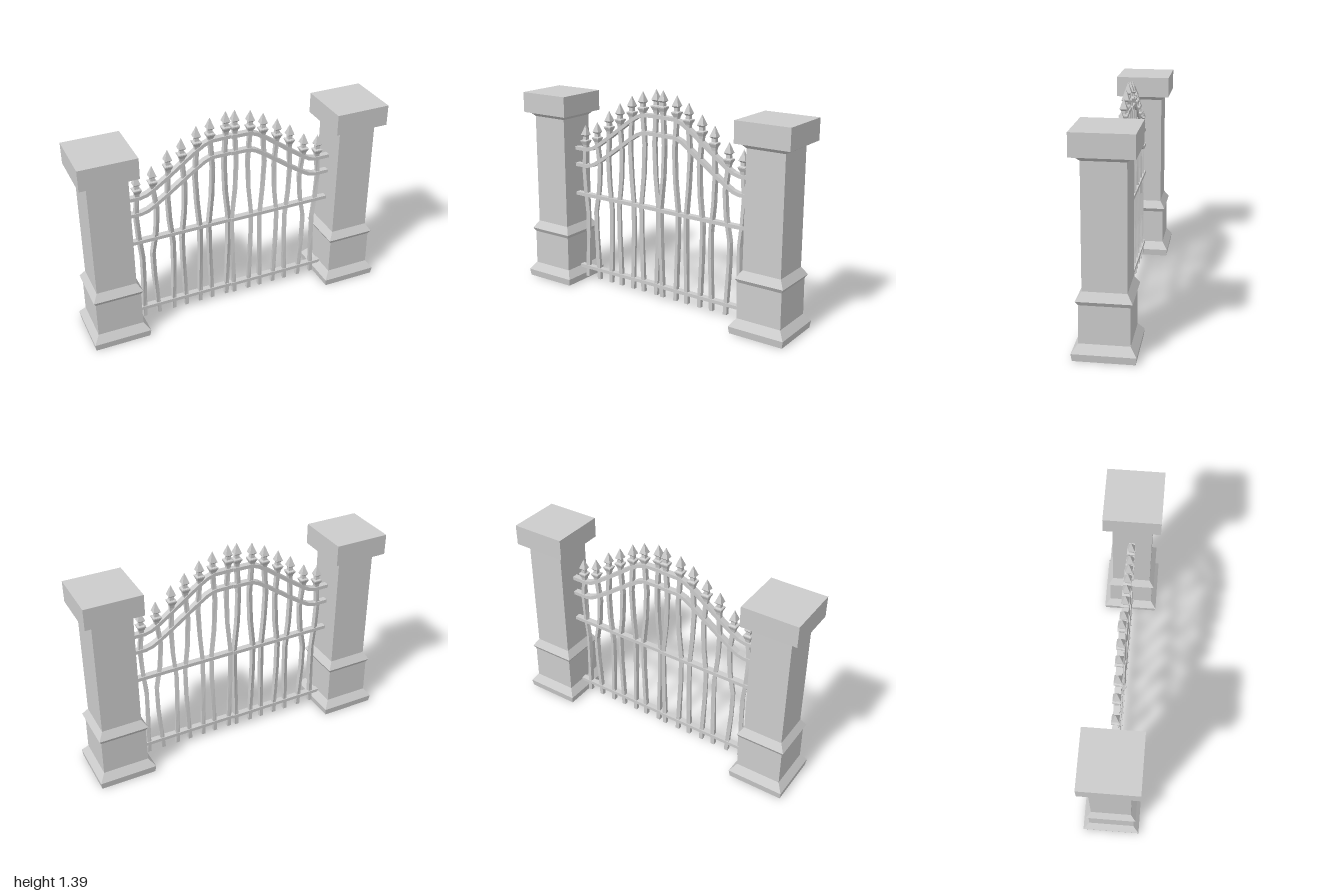
import * as THREE from 'three';

const stone = new THREE.MeshStandardMaterial({ color: 0xcccccc, flatShading: true });

// Square turned form from [halfWidth, y] pairs
function squareLathe(profile) {
  const points = profile.map(([h, y]) => new THREE.Vector2(h * Math.SQRT2, y));
  return new THREE.LatheGeometry(points, 4).rotateY(Math.PI / 4);
}

function add(parent, name, geometry, x = 0, y = 0, z = 0) {
  const mesh = new THREE.Mesh(geometry, stone);
  mesh.name = name;
  mesh.position.set(x, y, z);
  parent.add(mesh);
  return mesh;
}

const pillarProfile = [
  [0, 0], [0.178, 0], [0.184, 0.045], [0.147, 0.095], [0.145, 0.325],
  [0.159, 0.35], [0.127, 0.4], [0.125, 1.137], [0.153, 1.166],
  [0.178, 1.166], [0.178, 1.3], [0, 1.3],
];

const spearProfile = [
  [0, -0.15], [0.013, -0.15], [0.016, -0.132], [0.026, -0.11], [0.026, -0.103],
  [0.014, -0.098], [0.013, -0.077], [0.023, -0.066], [0, 0],
];

// Bars of one leaf, from the centre outwards: x, tip height, lower and upper bend
const bars = [
  [0.028, 1.388, -0.016, 0.012],
  [0.131, 1.366, 0.016, -0.014],
  [0.218, 1.329, -0.01, 0.015],
  [0.315, 1.27, 0.016, -0.014],
  [0.405, 1.211, -0.013, 0.01],
  [0.507, 1.126, 0.022, -0.02],
  [0.608, 1.094, -0.01, 0.014],
];

// Hand-forged square bar: a box whose rings are shifted and twisted
function bentBar(bottom, top, a, b, side) {
  const shift = [0, 0.45 * a, 0.9 * a, a, 0.4 * b, b, 0];
  const geometry = new THREE.BoxGeometry(0.026, top - bottom, 0.026, 1, 6, 1);
  const pos = geometry.attributes.position;
  for (let i = 0; i < pos.count; i++) {
    const u = pos.getY(i) / (top - bottom) + 0.5;
    const angle = 0.35 * side * Math.sin(Math.PI * u);
    const x = pos.getX(i), z = pos.getZ(i);
    pos.setX(i, x * Math.cos(angle) - z * Math.sin(angle) + side * shift[Math.round(u * 6)]);
    pos.setZ(i, x * Math.sin(angle) + z * Math.cos(angle));
  }
  return geometry.translate(0, (top + bottom) / 2, 0);
}

// Arched rail over one leaf, as a constant-thickness band along a polyline
function archedRail(points, side) {
  const t = 0.0115;
  const path = points.map(([x, y]) => new THREE.Vector2(side * x, y));
  const offset = path.map((p, i) => {
    const before = path[Math.max(i - 1, 0)];
    const after = path[Math.min(i + 1, path.length - 1)];
    const d = after.clone().sub(before).normalize();
    if (i === 0 || i === path.length - 1) d.set(side, 0);
    return new THREE.Vector2(-d.y, d.x).multiplyScalar(t);
  });
  const upper = path.map((p, i) => p.clone().add(offset[i]));
  const lower = path.map((p, i) => p.clone().sub(offset[i])).reverse();
  const shape = new THREE.Shape([...upper, ...lower]);
  return new THREE.ExtrudeGeometry(shape, { depth: 0.038, bevelEnabled: false }).translate(0, 0, -0.019);
}

const upperArch = [
  [0, 1.218], [0.125, 1.216], [0.17, 1.2], [0.23, 1.163], [0.41, 1.03],
  [0.5, 0.968], [0.545, 0.942], [0.59, 0.93], [0.69, 0.93],
];
const lowerArch = [
  [0, 1.104], [0.125, 1.102], [0.17, 1.084], [0.23, 1.045], [0.41, 0.915],
  [0.5, 0.855], [0.545, 0.829], [0.59, 0.817], [0.69, 0.817],
];

function createLeaf(side) {
  const leaf = new THREE.Group();
  leaf.name = side > 0 ? 'leftLeaf' : 'rightLeaf';

  for (const [x, tip, a, b] of bars) {
    add(leaf, 'bar', bentBar(0.025, tip - 0.14, a, b, side), side * x);
    add(leaf, 'spearhead', squareLathe(spearProfile), side * x, tip);
  }

  // Straight rails
  add(leaf, 'bottomRail', new THREE.BoxGeometry(0.678, 0.022, 0.038), side * 0.339, 0.095);
  add(leaf, 'middleRail', new THREE.BoxGeometry(0.69, 0.023, 0.038), side * 0.345, 0.615);

  // Arched rails
  add(leaf, 'upperArchedRail', archedRail(upperArch, side));
  add(leaf, 'lowerArchedRail', archedRail(lowerArch, side));
  return leaf;
}

export function createModel() {
  const gate = new THREE.Group();
  gate.name = 'gate';
  for (const side of [1, -1]) {
    const z = side > 0 ? 0 : -0.006;
    add(gate, side > 0 ? 'leftPillar' : 'rightPillar', squareLathe(pillarProfile), side * 0.816, 0, z);
    const leaf = createLeaf(side);
    leaf.position.set(-0.003, 0, z);
    gate.add(leaf);
  }
  return gate;
}
